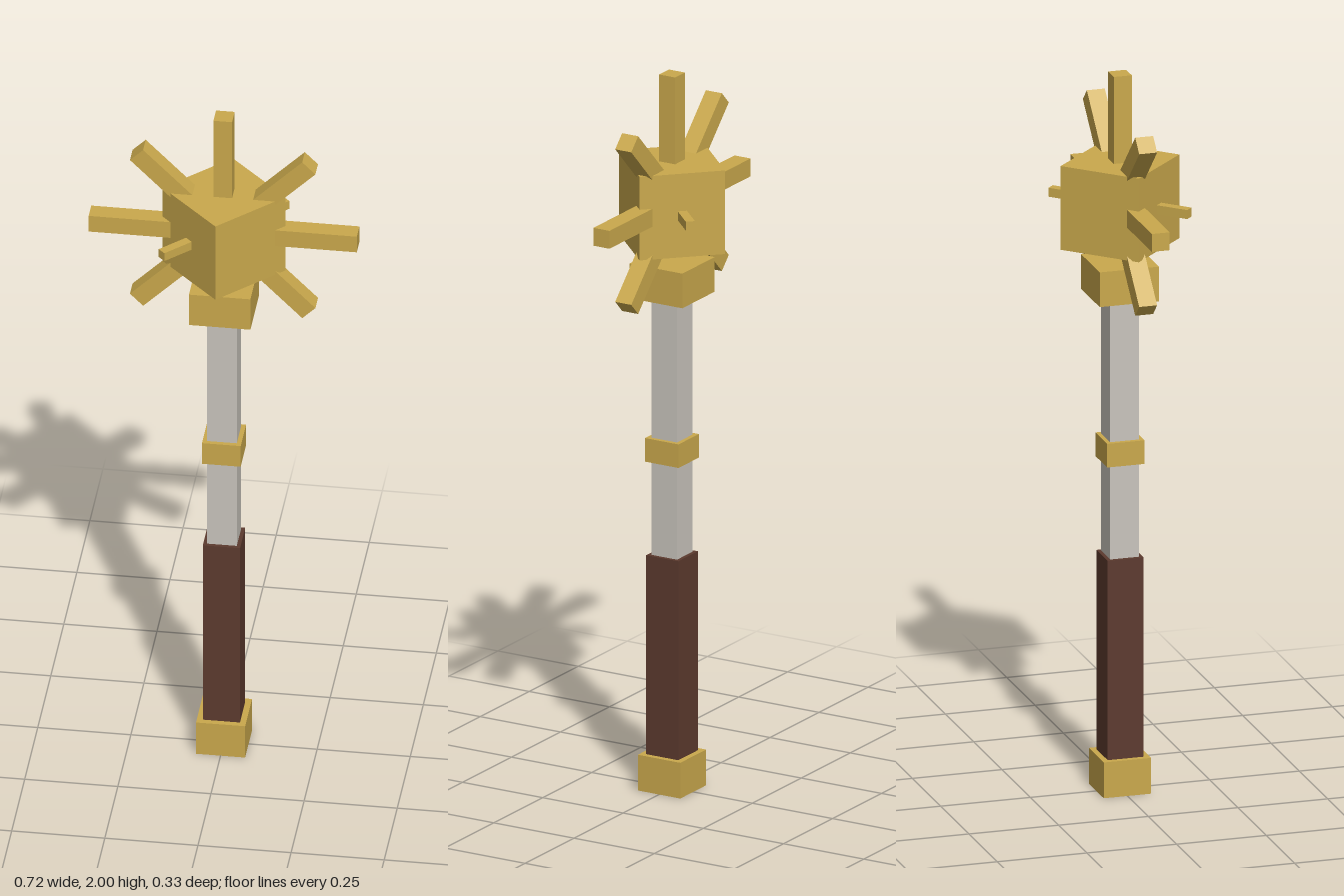
import * as THREE from 'three';

const material = (name, color) => {
  const m = new THREE.MeshStandardMaterial({ color });
  m.name = name;
  return m;
};

export function createModel() {
  const gold = material('gold', 0xc9a84c);
  const silver = material('silver', 0xc8c4bc);
  const leather = material('brown leather', 0x5c3a2e);

  const model = new THREE.Group();
  model.name = 'mace';

  const box = (name, mat, w, h, d, parent = model) => {
    const mesh = new THREE.Mesh(new THREE.BoxGeometry(w, h, d), mat);
    mesh.name = name;
    parent.add(mesh);
    return mesh;
  };

  // Square handle sections stacked along y: name, material, width, bottom, top
  const sections = [
    ['pommel', gold, 0.132, 0, 0.1],
    ['grip', leather, 0.1, 0.1, 0.657],
    ['shaft', silver, 0.08, 0.657, 1.38],
    ['shaftBand', gold, 0.104, 0.919, 0.985],
    ['collar', gold, 0.165, 1.38, 1.477],
  ];
  for (const [name, mat, w, y0, y1] of sections) {
    box(name, mat, w, y1 - y0, w).position.y = (y0 + y1) / 2;
  }

  // Cube head turned 45 degrees, floating just above the collar
  const head = new THREE.Group();
  head.name = 'head';
  head.position.y = 1.64;
  model.add(head);
  box('headCube', gold, 0.234, 0.234, 0.234, head).rotation.y = Math.PI / 4;

  // Spikes radiate from the centre of the head
  const up = new THREE.Vector3(0, 1, 0);
  const spike = (name, dir, tip, thickness) => {
    const root = 0.06;
    const mesh = box(name, gold, thickness, tip - root, thickness, head);
    dir.normalize();
    mesh.quaternion.setFromUnitVectors(up, dir);
    mesh.position.copy(dir).multiplyScalar((tip + root) / 2);
    return mesh;
  };

  spike('topSpike', new THREE.Vector3(0, 1, 0), 0.36, 0.05);
  for (const side of [-1, 1]) {
    const label = side > 0 ? 'left' : 'right';
    spike(label + 'SideSpike', new THREE.Vector3(side, 0, 0), 0.36, 0.05);
    spike(label + 'UpperSpike', new THREE.Vector3(side, 1, 0), 0.327, 0.05);
    spike(label + 'LowerSpike', new THREE.Vector3(side, -1, 0), 0.327, 0.05);

    // Thin stud on one pair of opposite head faces
    const stud = box(label + 'Stud', gold, 0.15, 0.025, 0.025, head);
    stud.rotation.y = Math.PI / 4;
    stud.position.set(side, 0, -side).normalize().multiplyScalar(0.133);
  }

  return model;
}
